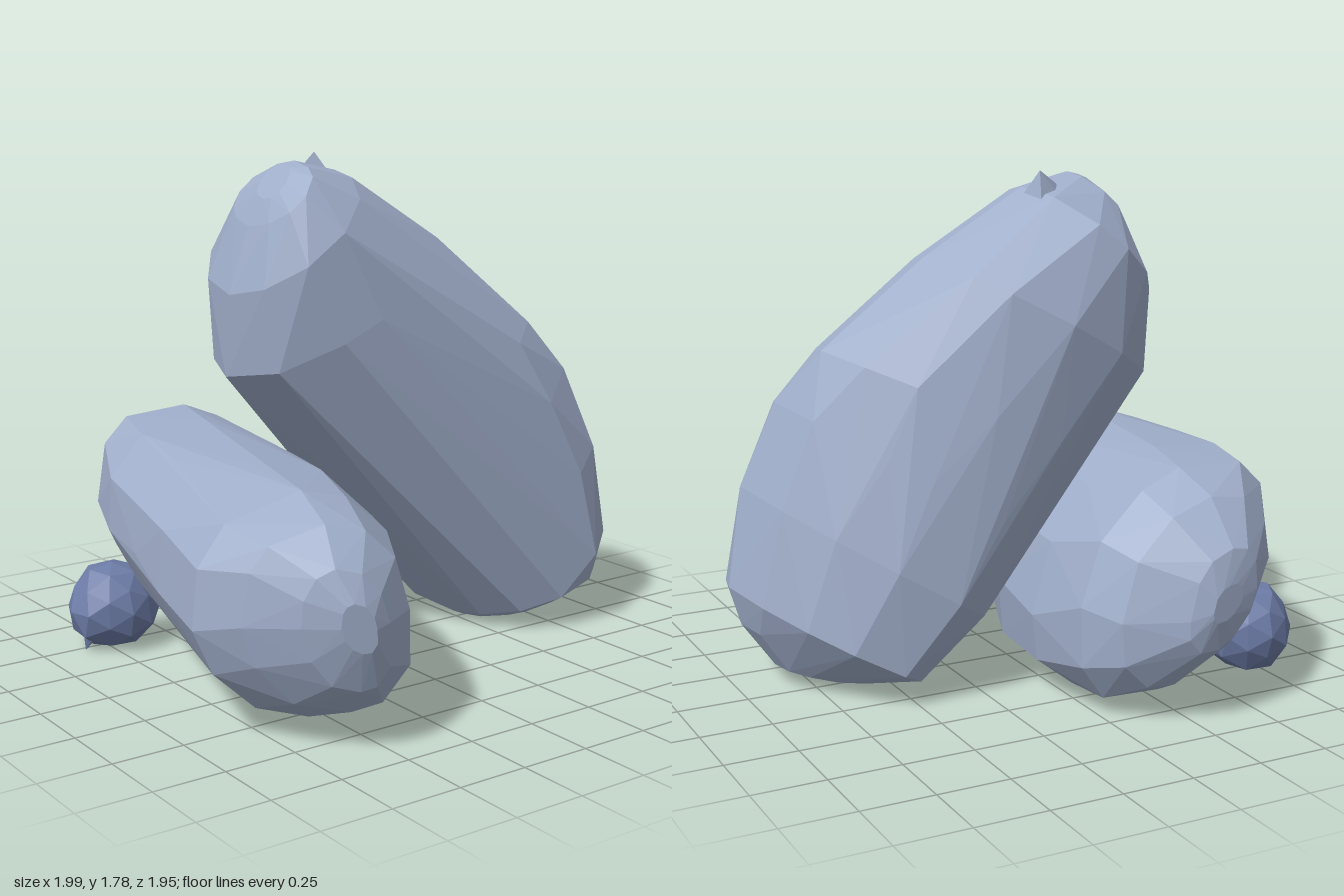
import * as THREE from 'three';
import { ConvexGeometry } from 'three/addons/geometries/ConvexGeometry.js';

// Small seeded random, -1 to 1
function seeded(seed) {
  let s = seed;
  return () => {
    s = (s * 16807) % 2147483647;
    return (s / 2147483647) * 2 - 1;
  };
}

// Faceted boulder: a hull round rounded rings.
// Each station is [one side], [other side], half thickness across them.
// A low roundness squares the ring off; each side has its own.
function boulder(stations, across, [roundA, roundB], seed) {
  const rnd = seeded(seed);
  const sides = 12;
  const soft = (v, e) => Math.sign(v) * Math.pow(Math.abs(v), e);
  const points = [];
  stations.forEach(([a, b, half]) => {
    const p = new THREE.Vector3(...a);
    const q = new THREE.Vector3(...b);
    const centre = p.clone().add(q).multiplyScalar(0.5);
    const u = q.clone().sub(p).multiplyScalar(0.5);
    const w = across.clone().multiplyScalar(half);
    for (let k = 0; k < sides; k++) {
      const t = ((k + rnd() * 0.2) / sides) * Math.PI * 2;
      const e = Math.cos(t) < 0 ? roundA : roundB;
      const r = 1 + rnd() * 0.015;
      points.push(centre.clone()
        .addScaledVector(u, soft(Math.cos(t), e) * r)
        .addScaledVector(w, soft(Math.sin(t), e) * r));
    }
  });
  return new ConvexGeometry(points);
}

export function createModel() {
  const group = new THREE.Group();
  const stone = new THREE.MeshStandardMaterial({ color: 0xa1afcb });
  stone.name = 'paleStone';
  const blueStone = new THREE.MeshStandardMaterial({ color: 0x6e7da8 });
  blueStone.name = 'blueStone';

  const add = (name, geometry, material) => {
    const mesh = new THREE.Mesh(geometry, material);
    mesh.name = name;
    group.add(mesh);
    return mesh;
  };

  // Tall boulder leaning over and twisting, from its top down to its foot
  add('leaningBoulder', boulder([
    [[-0.4, 1.65, 0.05], [-0.3, 1.76, 0.03], 0.08],
    [[-0.44, 1.56, 0.03], [-0.25, 1.77, 0.02], 0.2],
    [[-0.51, 1.33, 0.0], [-0.02, 1.73, -0.08], 0.35],
    [[-0.49, 1.04, -0.03], [0.36, 1.5, -0.09], 0.395],
    [[-0.23, 0.79, -0.12], [0.71, 1.2, 0.04], 0.39],
    [[0.02, 0.52, -0.16], [0.83, 1.01, 0.12], 0.38],
    [[0.22, 0.27, -0.195], [0.94, 0.71, 0.165], 0.363],
    [[0.44, 0.06, -0.15], [1.0, 0.36, 0.19], 0.325],
    [[0.47, 0.04, 0.02], [0.96, 0.22, 0.18], 0.26],
    [[0.53, 0.01, 0.0], [0.86, 0.07, 0.12], 0.14],
  ], new THREE.Vector3(0, 0, 1), [1.0, 1.0], 17), stone);

  // Chip standing up on the crest
  add('crestChip', new ConvexGeometry([
    [-0.13, 1.74, -0.12], [-0.04, 1.79, -0.17], [-0.02, 1.68, -0.22],
    [0.0, 1.69, -0.1], [-0.13, 1.68, -0.18],
  ].map((p) => new THREE.Vector3(...p))), stone);

  // Long boulder lying behind, from its back end to its front end
  add('lyingBoulder', boulder([
    [[-0.38, 0.45, -0.95], [-0.25, 0.42, -0.975], 0.06],
    [[-0.45, 0.47, -0.93], [-0.18, 0.41, -0.95], 0.17],
    [[-0.59, 0.49, -0.79], [0.0, 0.39, -0.83], 0.31],
    [[-0.7, 0.52, -0.63], [0.08, 0.37, -0.69], 0.39],
    [[-0.82, 0.52, -0.33], [0.1, 0.33, -0.4], 0.405],
    [[-0.89, 0.5, 0.0], [0.06, 0.33, -0.05], 0.395],
    [[-0.95, 0.46, 0.25], [-0.06, 0.37, 0.3], 0.39],
    [[-1.0, 0.41, 0.55], [-0.27, 0.42, 0.66], 0.375],
    [[-0.91, 0.42, 0.7], [-0.4, 0.42, 0.88], 0.31],
    [[-0.8, 0.43, 0.86], [-0.53, 0.41, 0.95], 0.2],
    [[-0.71, 0.45, 0.94], [-0.6, 0.43, 0.975], 0.08],
  ], new THREE.Vector3(-0.14, 1, 0), [1.05, 0.8], 71), stone);

  // Small round pebble beside the lying boulder, flattened underneath
  const rnd = seeded(5);
  const ball = new THREE.IcosahedronGeometry(0.165, 1).getAttribute('position');
  const seen = new Map();
  for (let i = 0; i < ball.count; i++) {
    const v = new THREE.Vector3().fromBufferAttribute(ball, i);
    const key = v.toArray().map((n) => Math.round(n * 1000)).join();
    if (seen.has(key)) continue;
    v.multiplyScalar(1 + rnd() * 0.06);
    v.y = Math.max(v.y, -0.15);
    seen.set(key, v);
  }
  const pebble = add('pebble', new ConvexGeometry([...seen.values()]), blueStone);
  pebble.position.set(-0.725, 0.155, -0.487);

  // Broken tip under the pebble
  const tip = add('pebbleTip', new THREE.ConeGeometry(0.05, 0.09, 4), blueStone);
  tip.position.set(-0.83, 0.05, -0.47);
  tip.rotation.z = Math.PI - 0.4;

  return group;
}
